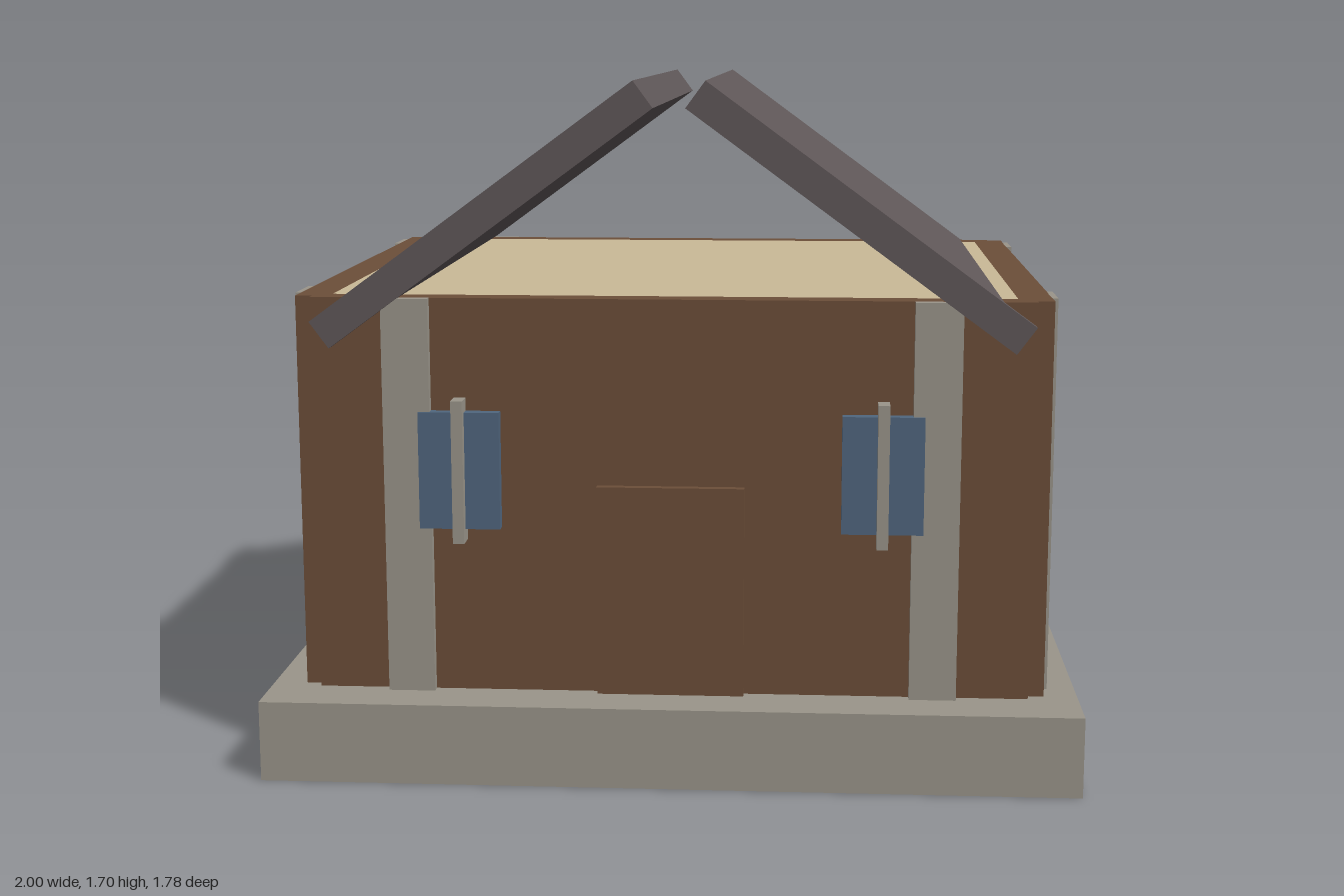
import * as THREE from 'three';

const mat = (name, color) => {
  const m = new THREE.MeshStandardMaterial({ color });
  m.name = name;
  return m;
};

export function createModel() {
  const house = new THREE.Group();
  house.name = 'house';
  const stone = mat('stone', 0x9a958a);
  const wood = mat('brown wood', 0x6c4e39);
  const plaster = mat('cream plaster', 0xc9b997);
  const slate = mat('dark slate', 0x5f5758);
  const glass = mat('blue glass', 0x50667e);

  // Box given by its lower and upper corners
  const box = (name, material, [x0, y0, z0], [x1, y1, z1]) => {
    const mesh = new THREE.Mesh(new THREE.BoxGeometry(x1 - x0, y1 - y0, z1 - z0), material);
    mesh.position.set((x0 + x1) / 2, (y0 + y1) / 2, (z0 + z1) / 2);
    mesh.name = name;
    house.add(mesh);
    return mesh;
  };
  // Box centred on x and z, mirrored by signs
  const mirrored = (name, material, sx, sz, [x0, y0, z0], [x1, y1, z1]) => box(name, material,
    [Math.min(sx * x0, sx * x1), y0, Math.min(sz * z0, sz * z1)],
    [Math.max(sx * x0, sx * x1), y1, Math.max(sz * z0, sz * z1)]);

  const base = 0.2, top = 1.18;

  // Foundation and inner block
  box('foundation', stone, [-1, 0, -0.89], [1, base, 0.89]);
  box('innerCore', plaster, [-0.834, base, -0.69], [0.834, top, 0.69]);

  // Walls, with side walls stopping short to leave stepped corners
  for (const s of [1, -1]) {
    mirrored(s > 0 ? 'frontWall' : 'backWall', wood, 1, s, [-0.877, base, 0.69], [0.877, top, 0.753]);
    mirrored(s > 0 ? 'leftWall' : 'rightWall', wood, s, 1, [0.834, base, -0.73], [0.918, top, 0.73]);
  }

  // Pilasters: two on each wall
  for (const sx of [1, -1]) for (const sz of [1, -1]) {
    mirrored(sz > 0 ? 'frontPilaster' : 'backPilaster', stone, sx, sz, [0.585, base, 0.752], [0.7, top, 0.776]);
    mirrored('sidePilaster', stone, sx, sz, [0.917, base, 0.535], [0.932, top, 0.67]);
  }

  // Door
  box('door', wood, [-0.18, base, 0.752], [0.18, 0.722, 0.775]);

  for (const s of [1, -1]) {
    // Windows with a vertical bar
    mirrored('window', glass, s, 1, [0.415, 0.615, 0.752], [0.613, 0.904, 0.783]);
    mirrored('windowBar', stone, s, 1, [0.5, 0.583, 0.752], [0.528, 0.936, 0.807]);

    // Roof slabs, apart at the ridge
    const slab = new THREE.Mesh(new THREE.BoxGeometry(0.975, 0.08, 1.58), slate);
    slab.position.set(s * 0.455, 1.38, 0);
    slab.rotation.z = -s * 0.633;
    slab.name = s > 0 ? 'leftRoof' : 'rightRoof';
    house.add(slab);
  }
  return house;
}
